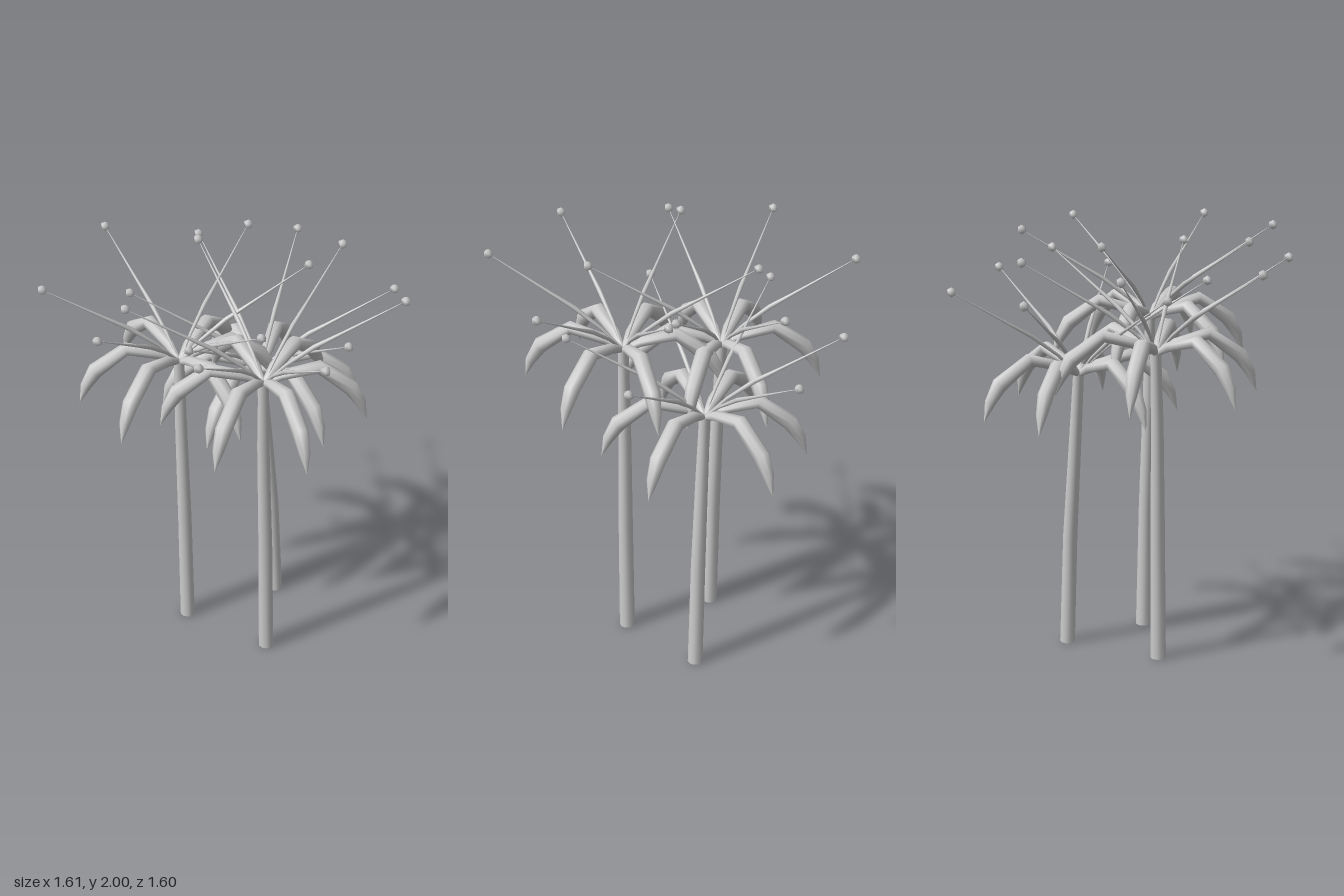
import * as THREE from 'three';

const material = new THREE.MeshStandardMaterial({ color: 0xcccccc });
const openMaterial = new THREE.MeshStandardMaterial({ color: 0xcccccc, side: THREE.DoubleSide });

// Lofts elliptical rings [x, y, z, halfThickness, halfWidth] along a path, with a flat facet on top.
function loft(rings, sides) {
  const pos = [], idx = [];
  const at = (i) => new THREE.Vector3(...rings[i].slice(0, 3));
  rings.forEach(([x, y, z, h, w], i) => {
    const a = at(Math.max(i - 1, 0)), b = at(Math.min(i + 1, rings.length - 1));
    const t = new THREE.Vector2(b.x - a.x, b.y - a.y).normalize();
    for (let j = 0; j < sides; j++) {
      const ang = ((j + 0.5) / sides) * Math.PI * 2, n = Math.cos(ang) * h;
      pos.push(x - t.y * n, y + t.x * n, z + Math.sin(ang) * w);
    }
  });
  for (let i = 0; i < rings.length - 1; i++) {
    for (let j = 0; j < sides; j++) {
      const k = (j + 1) % sides, a = i * sides, b = a + sides;
      idx.push(a + j, a + k, b + j, a + k, b + k, b + j);
    }
  }
  const geo = new THREE.BufferGeometry();
  geo.setAttribute('position', new THREE.Float32BufferAttribute(pos, 3));
  geo.setIndex(idx);
  geo.computeVertexNormals();
  return geo;
}

function part(name, geometry, mat = material) {
  const mesh = new THREE.Mesh(geometry, mat);
  mesh.name = name;
  return mesh;
}

// Petal arches outwards, then droops to a pointed tip
const petalGeo = loft([
  [0, -0.02, 0, 0.012, 0.012],
  [0.08, 0.025, 0, 0.023, 0.027],
  [0.24, 0.07, 0, 0.029, 0.038],
  [0.385, -0.035, 0, 0.037, 0.036],
  [0.432, -0.115, 0, 0.025, 0.025],
  [0.462, -0.203, 0, 0.001, 0.001],
], 8);

// Thin filament, thickest below its middle and very fine at its end
const filamentGeo = loft([
  [0, -0.02, 0, 0.004, 0.004],
  [0.1, 0.08, 0, 0.008, 0.008],
  [0.22, 0.174, 0, 0.011, 0.011],
  [0.33, 0.241, 0, 0.007, 0.007],
  [0.6, 0.408, 0, 0.0015, 0.0015],
], 6);

const antherGeo = new THREE.SphereGeometry(0.023, 5, 3);

// Flower head centre, stem path [x, y, z, radius], and plan position of each anther
const flowers = [
  {
    centre: [0.172, 1.57, 0.215],
    stem: [[0.205, 0, 0.205, 0.037], [0.193, 0.6, 0.209, 0.034], [0.175, 1.2, 0.214, 0.029], [0.17, 1.57, 0.217, 0.024]],
    tips: [[0.77, 0.25], [0.545, -0.25], [-0.1, -0.32], [-0.43, 0.27], [-0.13, 0.74], [0.385, 0.78]],
  },
  {
    centre: [-0.196, 1.5, -0.083],
    stem: [[-0.175, 0, -0.045, 0.037], [-0.182, 0.6, -0.056, 0.034], [-0.193, 1.15, -0.071, 0.029], [-0.197, 1.5, -0.086, 0.025]],
    tips: [[-0.79, -0.02], [-0.525, -0.585], [0.14, -0.58], [0.39, -0.195], [0.145, 0.41], [-0.545, 0.41]],
  },
  {
    centre: [0.187, 1.36, -0.217],
    stem: [[0.277, 0, -0.227, 0.036], [0.25, 0.55, -0.225, 0.034], [0.21, 1.05, -0.22, 0.029], [0.185, 1.36, -0.218, 0.025]],
    tips: [[-0.41, -0.215], [-0.09, -0.755], [0.39, -0.785], [0.785, -0.205], [0.53, 0.27], [-0.155, 0.27]],
  },
];

export function createModel() {
  const model = new THREE.Group();
  model.name = 'flowerCluster';
  for (const { centre, stem, tips } of flowers) {
    const flower = new THREE.Group();
    flower.name = 'flower';
    // Hollow stem, open at the foot
    flower.add(part('stem', loft(stem.map(([x, y, z, r]) => [x, y, z, r, r]), 10), openMaterial));

    // Six petals, each with a stamen above it
    const head = new THREE.Group();
    head.name = 'flowerHead';
    head.position.set(...centre);
    for (const [x, z] of tips) {
      const spoke = new THREE.Group();
      spoke.name = 'petalAndStamen';
      spoke.rotation.y = -Math.atan2(z - centre[2], x - centre[0]);
      const anther = part('anther', antherGeo);
      anther.position.set(0.6, 0.408, 0);
      spoke.add(part('petal', petalGeo), part('filament', filamentGeo), anther);
      head.add(spoke);
    }
    flower.add(head);
    model.add(flower);
  }
  return model;
}
